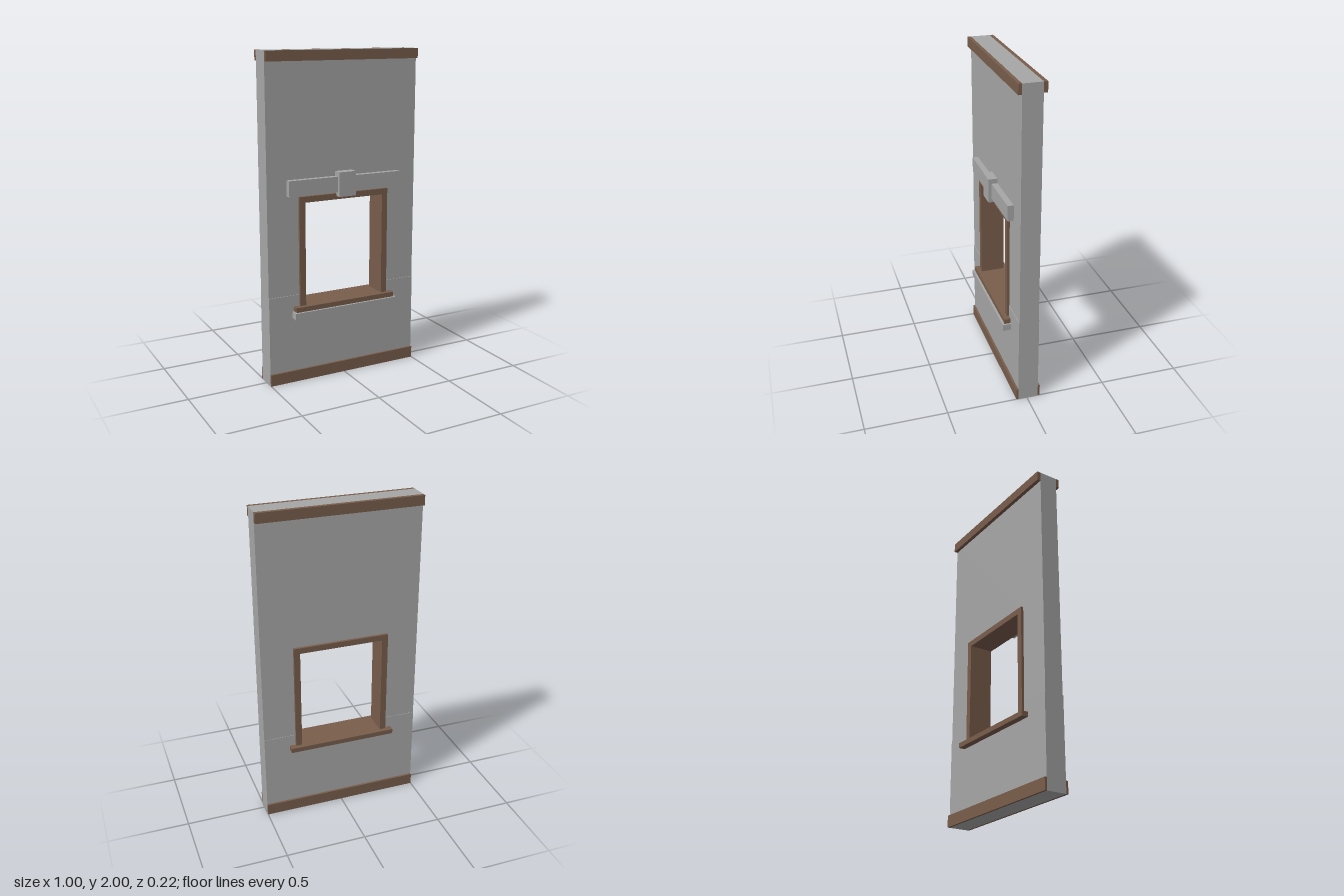
import * as THREE from 'three';

export function createModel() {
  const model = new THREE.Group();
  model.name = 'windowWall';
  const plaster = new THREE.MeshStandardMaterial({ color: 0xa6a6a6 });
  plaster.name = 'grey plaster';
  const wood = new THREE.MeshStandardMaterial({ color: 0x785d4b });
  wood.name = 'brown wood';

  const add = (name, geometry, material) => {
    const mesh = new THREE.Mesh(geometry, material);
    mesh.name = name;
    model.add(mesh);
  };
  // Box given by its limits on each axis
  const box = (name, material, [x0, x1], [y0, y1], [z0, z1]) => {
    const g = new THREE.BoxGeometry(x1 - x0, y1 - y0, z1 - z0);
    g.translate((x0 + x1) / 2, (y0 + y1) / 2, (z0 + z1) / 2);
    add(name, g, material);
  };
  // Wall section: an outline in x and y, extruded from z0 to z1
  const section = (name, points, z0, z1) => {
    const shape = new THREE.Shape(points.map(([x, y]) => new THREE.Vector2(x, y)));
    const g = new THREE.ExtrudeGeometry(shape, { depth: z1 - z0, bevelEnabled: false });
    g.translate(0, 0, z0);
    add(name, g, plaster);
  };

  // Wall, slightly thicker below the ledge, notched around the window
  const ledge = 0.553, hole = 0.28;
  section('lowerWall', [[-0.5, 0], [0.5, 0], [0.5, ledge], [hole, ledge], [hole, 0.465],
    [-hole, 0.465], [-hole, ledge], [-0.5, ledge]], -0.07, 0.055);
  section('upperWall', [[-0.5, ledge], [-hole, ledge], [-hole, 1.135], [hole, 1.135],
    [hole, ledge], [0.5, ledge], [0.5, 2], [-0.5, 2]], -0.067, 0.051);

  // Trim boards along the top and bottom of both faces
  box('topTrimFront', wood, [-0.5, 0.5], [1.94, 2], [0.051, 0.072]);
  box('topTrimBack', wood, [-0.5, 0.5], [1.94, 2], [-0.09, -0.067]);
  box('baseTrimFront', wood, [-0.5, 0.5], [0, 0.072], [0.055, 0.068]);
  box('baseTrimBack', wood, [-0.5, 0.5], [0, 0.072], [-0.083, -0.07]);

  // Window frame running through the wall
  const depth = [-0.083, 0.067];
  box('leftJamb', wood, [0.262, 0.3], [0.482, 1.117], depth);
  box('rightJamb', wood, [-0.3, -0.262], [0.482, 1.117], depth);
  box('frameHead', wood, [-0.3, 0.3], [1.117, 1.153], depth);
  box('woodSill', wood, [-0.338, 0.338], [0.452, 0.482], [-0.111, 0.093]);

  // Stonework on the front
  box('stoneSill', plaster, [-0.349, 0.349], [0.411, 0.452], [0.045, 0.107]);
  box('lintel', plaster, [-0.374, 0.374], [1.162, 1.258], [0.045, 0.087]);
  box('keystone', plaster, [-0.055, 0.055], [1.138, 1.287], [0.045, 0.107]);

  return model;
}
